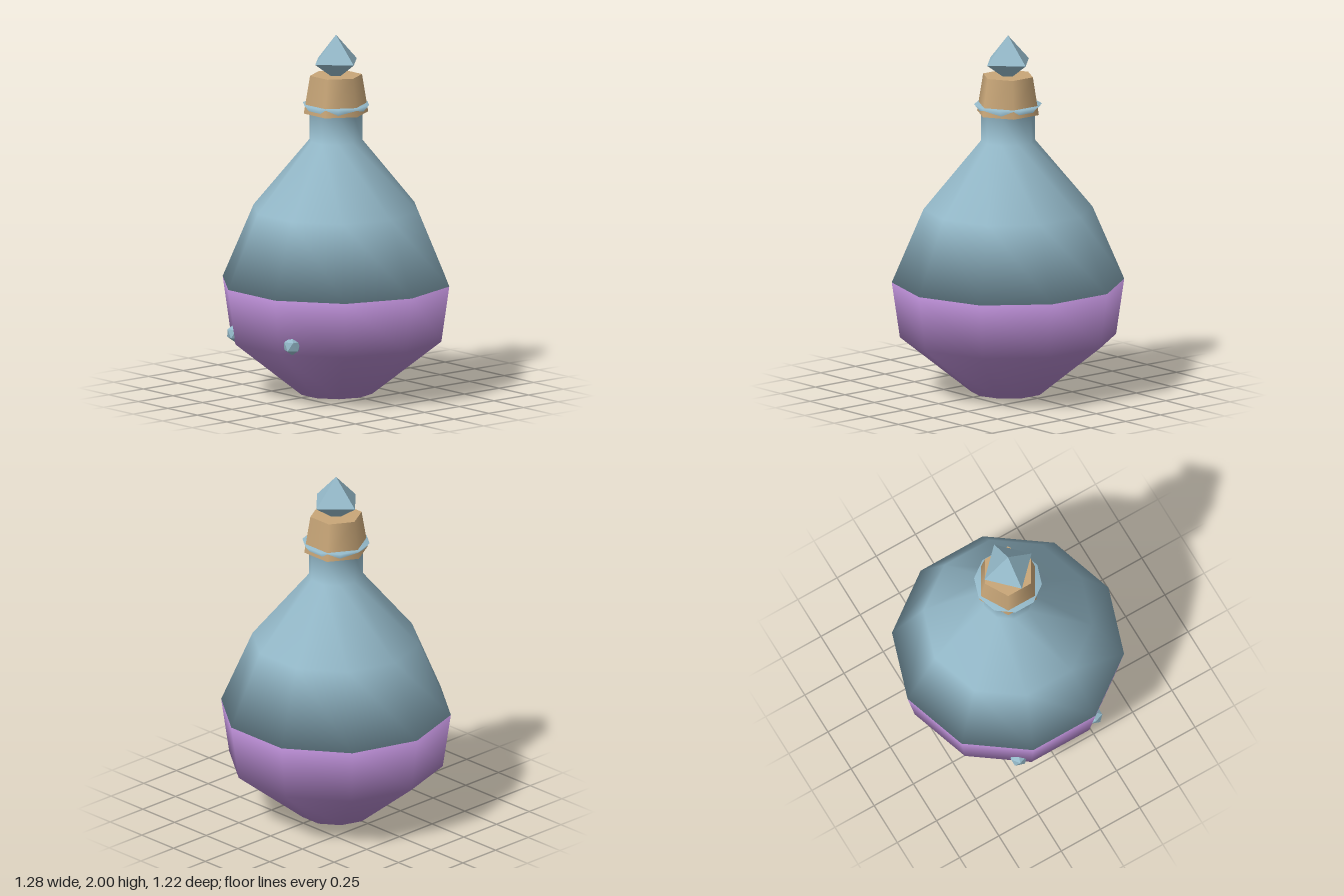
import * as THREE from 'three';

const glass = new THREE.MeshStandardMaterial({ name: 'paleBlueGlass', color: 0x94b9c9 });
const purple = new THREE.MeshStandardMaterial({ name: 'purpleLiquid', color: 0xac82c4 });
const tan = new THREE.MeshStandardMaterial({ name: 'tanCork', color: 0xc8a678 });

// Smooth ten-sided solid of revolution with a corner on the x axis
function turned(profile) {
  const points = profile.map(([r, y]) => new THREE.Vector2(r, y));
  return new THREE.LatheGeometry(points, 10, Math.PI / 2);
}

export function createModel() {
  const model = new THREE.Group();
  model.name = 'potionBottle';

  function add(name, geometry, material, x = 0, y = 0, z = 0) {
    const mesh = new THREE.Mesh(geometry, material);
    mesh.name = name;
    mesh.position.set(x, y, z);
    model.add(mesh);
    return mesh;
  }

  // Filled lower half, closed at both ends so its rims shade softly
  add('liquid', turned([[0, 0], [0.205, 0], [0.595, 0.31], [0.64, 0.62], [0, 0.62]]), purple);

  // Empty upper half with shoulder, neck and flared lip
  add('glassBody', turned([
    [0, 0.62], [0.64, 0.62], [0.465, 1.03], [0.15, 1.41],
    [0.15, 1.57], [0.187, 1.615], [0, 1.615],
  ]), glass);

  // Hexagonal tapered cork
  add('cork', new THREE.CylinderGeometry(0.145, 0.18, 0.21, 6, 1, false, Math.PI / 2), tan, 0, 1.67, 0);

  // Faceted gem on the cork, shorter below its waist
  const gem = new THREE.OctahedronGeometry(0.15);
  const p = gem.attributes.position;
  for (let i = 0; i < p.count; i++) {
    if (p.getY(i) < 0) p.setY(i, p.getY(i) * 0.68);
  }
  gem.computeVertexNormals();
  add('stopperGem', gem, glass, 0, 1.85, 0);

  // Two small studs set into the front wall, points upward
  const stud = new THREE.IcosahedronGeometry(0.053);
  stud.rotateZ(Math.atan(2 / (1 + Math.sqrt(5))));
  add('leftStud', stud, glass, 0.24, 0.362, 0.52);
  add('rightStud', stud, glass, -0.24, 0.362, 0.52);

  return model;
}
